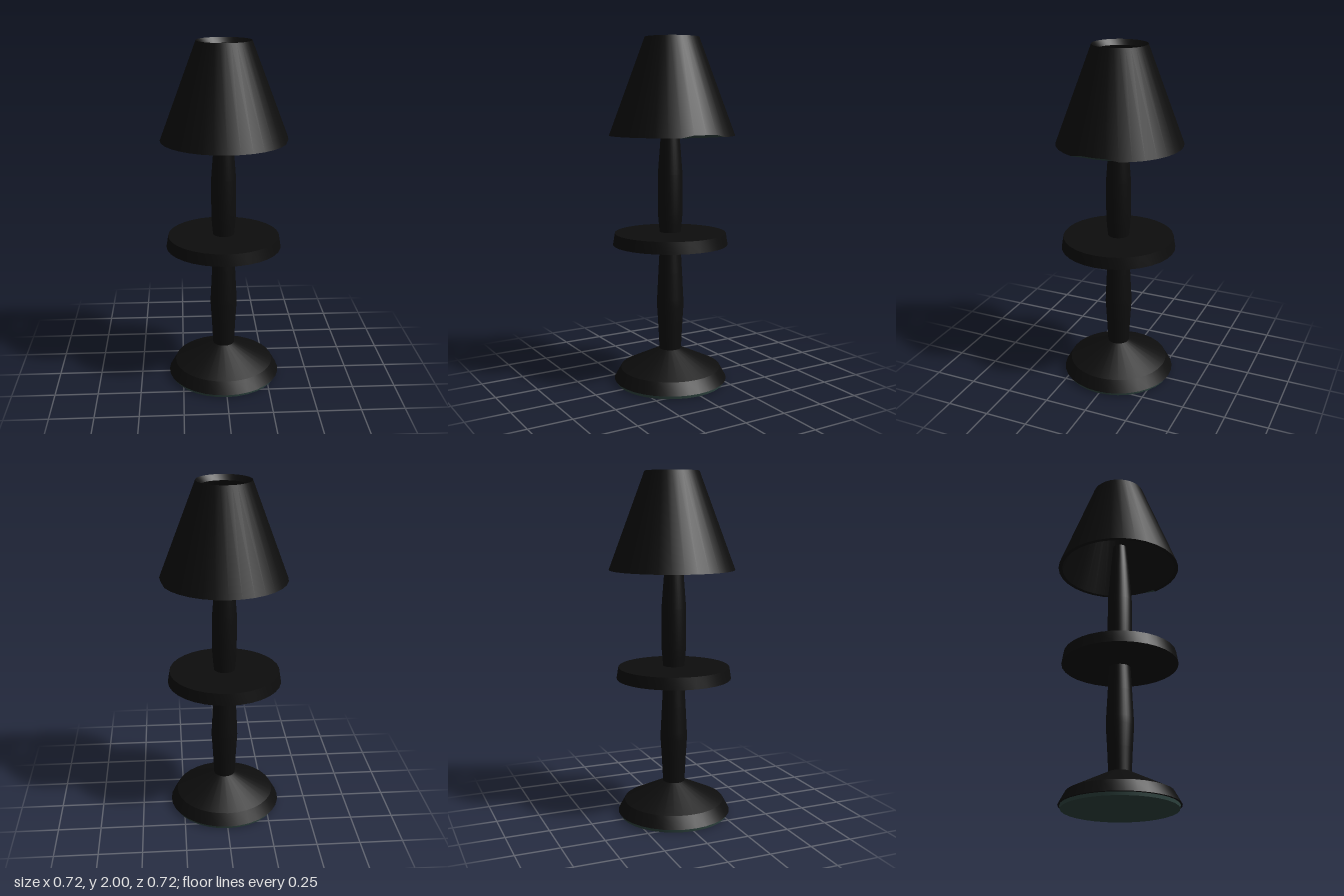
import * as THREE from 'three';
import { toCreasedNormals } from 'three/addons/utils/BufferGeometryUtils.js';

const SIDES = 32;

export function createModel() {
  const lamp = new THREE.Group();
  lamp.name = 'lamp';
  const black = new THREE.MeshStandardMaterial({ color: 0x0d0d0d });
  black.name = 'black';
  const teal = new THREE.MeshStandardMaterial({ color: 0x2f4541 });
  teal.name = 'darkTeal';

  // Turned part from [radius, height] pairs, running up the outside
  function turned(name, profile, material, { segments = SIDES, start = 0, bend, parent = lamp } = {}) {
    const points = profile.map(([r, y]) => new THREE.Vector2(r, y));
    const geometry = new THREE.LatheGeometry(points, segments, start, segments / SIDES * Math.PI * 2);
    if (bend) bend(geometry.attributes.position);
    const mesh = new THREE.Mesh(toCreasedNormals(geometry, 0.4), material);
    mesh.name = name;
    parent.add(mesh);
    return mesh;
  }

  const stand = new THREE.Group();
  stand.name = 'stand';
  stand.position.set(-0.003, 0, 0.01);
  lamp.add(stand);
  const onStand = { parent: stand };

  // Foot with a teal pad underneath
  turned('footPad', [[0, 0], [0.317, 0], [0.32, 0.018]], teal, onStand);
  turned('foot', [[0.318, 0.018], [0.33, 0.02], [0.292, 0.088], [0.063, 0.2], [0, 0.2]], black, onStand);

  // Lower and upper column
  turned('lowerColumn', [[0.063, 0.19], [0.07, 0.33], [0.078, 0.46], [0.077, 0.5], [0.069, 0.66],
    [0.06, 0.82]], black, onStand);
  turned('upperColumn', [[0.06, 0.88], [0.066, 0.94], [0.071, 1.0], [0.071, 1.23], [0.054, 1.45],
    [0.04, 1.6], [0, 1.6]], black, onStand);

  // Round tray halfway up
  turned('tray', [[0, 0.806], [0.1, 0.808], [0.333, 0.822], [0.322, 0.89], [0.1, 0.895], [0, 0.895]],
    black, onStand);

  // Shade: outer wall, sloping lip and inner wall, its lower edge raised slightly on the left
  const bend = (position) => {
    for (let i = 0; i < position.count; i++) {
      if (position.getY(i) < 1.5 && position.getX(i) > 0.34) position.setY(i, 1.465);
    }
  };
  turned('shade', [[0.36, 1.45], [0.154, 2], [0.132, 1.97], [0.337, 1.45]], black, { bend });

  // Lower rim of the shade, with a short teal stretch on the left
  const rim = [[0.337, 1.45], [0.36, 1.45]];
  const step = Math.PI * 2 / SIDES;
  turned('shadeRimTeal', rim, teal, { segments: 4, start: Math.PI / 2 - 2 * step, bend });
  turned('shadeRim', rim, black, { segments: SIDES - 4, start: Math.PI / 2 + 2 * step, bend });

  return lamp;
}
